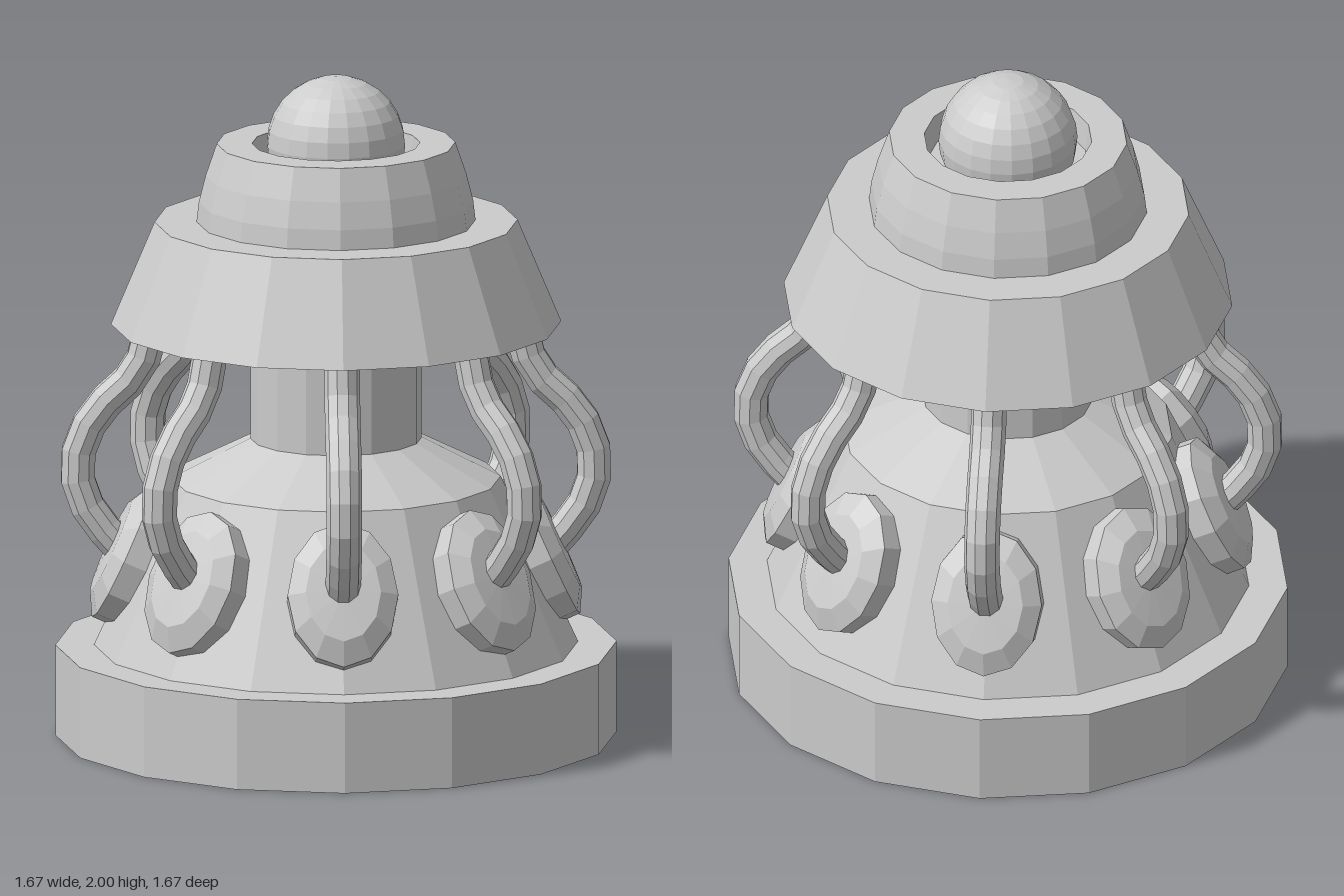
import * as THREE from 'three';

const material = new THREE.MeshStandardMaterial({ color: 0xcccccc, flatShading: true });

function addMesh(parent, name, geometry) {
  const mesh = new THREE.Mesh(geometry, material);
  mesh.name = name;
  parent.add(mesh);
  return mesh;
}

// Faceted turned part; profile points are [radius, height], from the bottom up
const turned = (profile, sides = 16) =>
  new THREE.LatheGeometry(profile.map(([r, y]) => new THREE.Vector2(r, y)), sides);

export function createModel() {
  const model = new THREE.Group();
  model.name = 'machine';

  // Central stack
  addMesh(model, 'base', turned([[0, 0], [0.835, 0], [0.835, 0.275], [0, 0.275]]));
  addMesh(model, 'lowerBody', turned([[0.72, 0.275], [0.49, 0.78], [0.255, 0.9], [0, 0.9]]));
  addMesh(model, 'neck', turned([[0.255, 0.88], [0.255, 1.26]]));
  addMesh(model, 'skirtCap', turned([[0, 1.25], [0.67, 1.25], [0.54, 1.56], [0, 1.56]]));

  // Rounded collar with a recess that holds the ball
  addMesh(model, 'collar', turned([
    [0.415, 1.56], [0.408, 1.62], [0.388, 1.7], [0.355, 1.797],
    [0.25, 1.797], [0.24, 1.71], [0, 1.71],
  ]));
  addMesh(model, 'ball', new THREE.SphereGeometry(0.207, 20, 14)).position.y = 1.793;

  // Eight sockets on the sloping body, each with a hose bowing up into the cap
  const hosePath = new THREE.CatmullRomCurve3([
    [1.32, 0.54], [1.22, 0.553], [1.11, 0.59], [0.985, 0.71],
    [0.88, 0.762], [0.78, 0.768], [0.68, 0.73], [0.56, 0.63],
  ].map(([y, r]) => new THREE.Vector3(0, y, r)));
  const hoseGeometry = new THREE.TubeGeometry(hosePath, 10, 0.053, 10);
  const socketGeometry = turned([[1, -0.05], [1, 0.05], [0.68, 0.088], [0, 0.095]], 12);

  for (let i = 0; i < 8; i++) {
    const arm = new THREE.Group();
    arm.name = 'hoseAndSocket';
    arm.rotation.y = (i * Math.PI) / 4;
    model.add(arm);

    const socket = addMesh(arm, 'socket', socketGeometry);
    socket.position.set(0, 0.54, 0.59);
    socket.rotation.x = 1.145;
    socket.scale.set(0.165, 1, 0.22);

    addMesh(arm, 'hose', hoseGeometry);
    addMesh(arm, 'hoseEnd', new THREE.SphereGeometry(0.053, 10, 8)).position.set(0, 0.56, 0.63);
  }
  return model;
}
